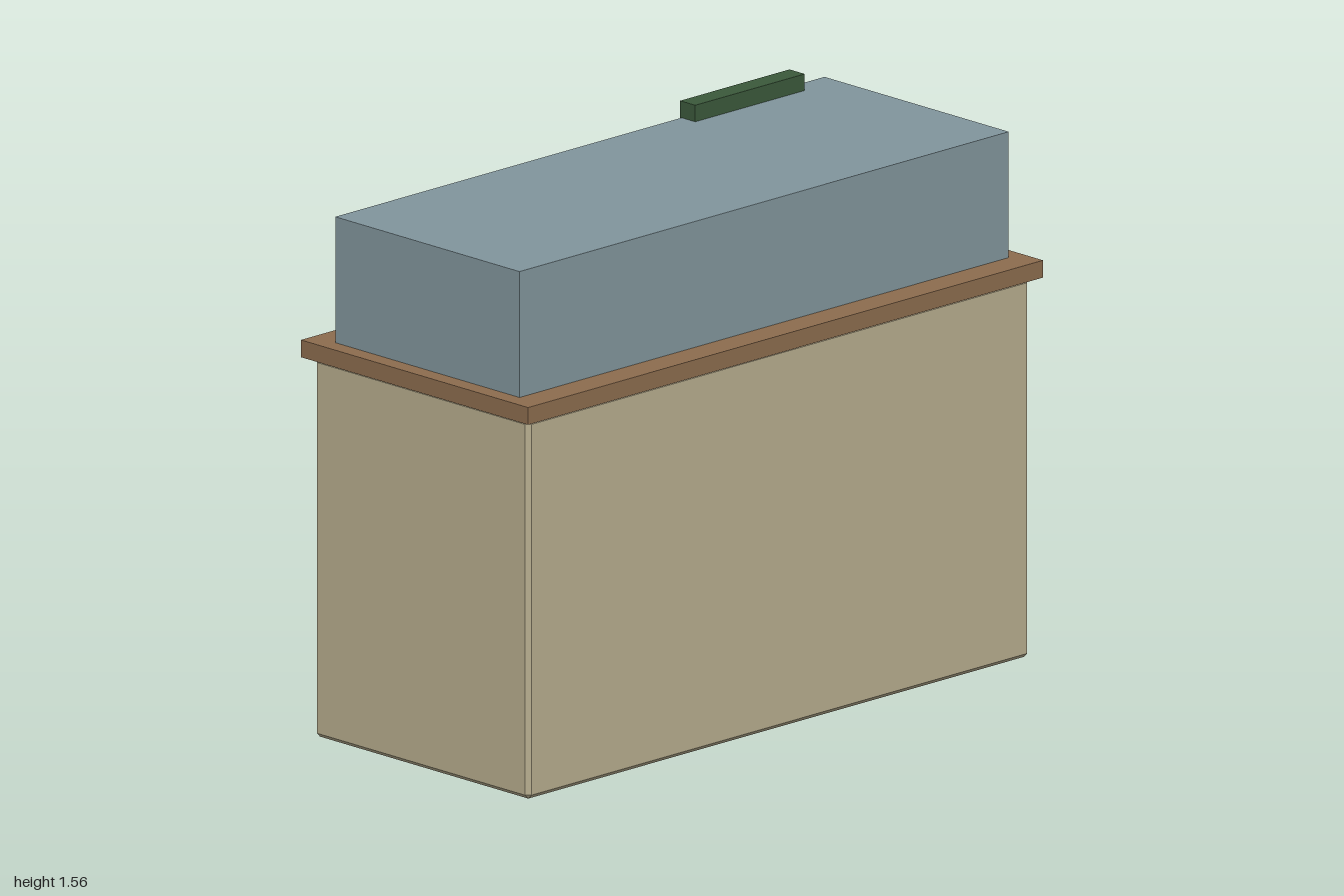
import * as THREE from 'three';
import { ConvexGeometry } from 'three/addons/geometries/ConvexGeometry.js';

const material = (name, color) => {
  const m = new THREE.MeshStandardMaterial({ color });
  m.name = name;
  return m;
};

// Box with narrow flat chamfers on every edge, centred on its origin
function chamferedBox(width, height, depth, chamfer) {
  const half = [width / 2, height / 2, depth / 2];
  const points = [];
  for (const sx of [-1, 1]) for (const sy of [-1, 1]) for (const sz of [-1, 1]) {
    for (let axis = 0; axis < 3; axis++) {
      const p = [sx, sy, sz].map((s, i) => s * (half[i] - (i === axis ? 0 : chamfer)));
      points.push(new THREE.Vector3(...p));
    }
  }
  return new ConvexGeometry(points);
}

export function createModel() {
  const model = new THREE.Group();
  model.name = 'aquariumOnCabinet';

  const add = (name, geometry, mat, x, y, z) => {
    const mesh = new THREE.Mesh(geometry, mat);
    mesh.name = name;
    mesh.position.set(x, y, z);
    model.add(mesh);
  };

  const tan = material('cabinetTan', 0xb7ad8e);
  const brown = material('woodBrown', 0x8c6c4e);
  const blue = material('tankBlueGrey', 0x81959c);
  const green = material('filterGreen', 0x3b593b);

  // Cabinet with softened edges
  add('cabinet', chamferedBox(1.95, 1.1, 0.85, 0.0125), tan, 0, 0.55, 0);

  // Overhanging board that carries the tank
  add('topBoard', new THREE.BoxGeometry(2, 0.05, 0.9), brown, 0, 1.125, 0);

  // Tank
  add('tank', new THREE.BoxGeometry(1.9, 0.365, 0.73), blue, 0, 1.3325, 0);

  // Filter hung over the back rim
  add('filter', new THREE.BoxGeometry(0.425, 0.143, 0.06), green, 0.6075, 1.4915, -0.341);

  return model;
}
